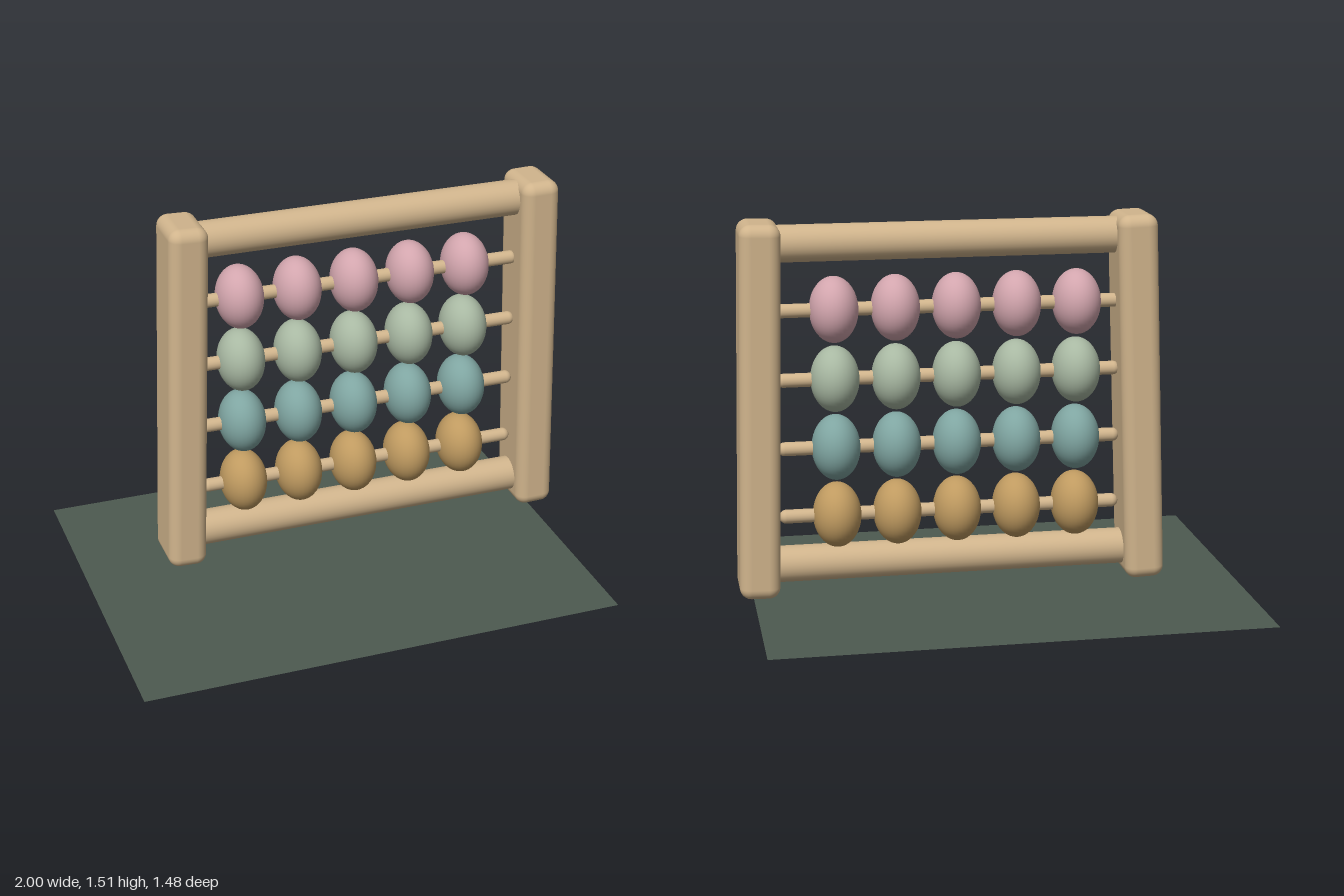
import * as THREE from 'three';
import { RoundedBoxGeometry } from 'three/addons/geometries/RoundedBoxGeometry.js';

const CX = 0.161; // frame centre
const CZ = -0.13;

function material(name, color, side = THREE.FrontSide) {
  const m = new THREE.MeshStandardMaterial({ color, side });
  m.name = name;
  return m;
}

export function createModel() {
  const model = new THREE.Group();
  model.name = 'beadFrame';
  const wood = material('wood', 0xd0b48c);
  const slate = material('darkGreen', 0x4d5a50, THREE.DoubleSide);

  function add(name, geometry, mat, x, y, z) {
    const mesh = new THREE.Mesh(geometry, mat);
    mesh.name = name;
    mesh.position.set(x, y, z);
    model.add(mesh);
    return mesh;
  }

  // flat base sheet
  const sheet = add('baseSheet', new THREE.PlaneGeometry(1.935, 1.484), slate, -0.0325, 0, 0);
  sheet.rotation.x = -Math.PI / 2;

  // side posts, leaning slightly inwards
  const post = new RoundedBoxGeometry(0.156, 1.455, 0.243, 5, 0.045);
  add('rightPost', post, wood, CX - 0.741, 0.779, CZ).rotation.z = -0.035;
  add('leftPost', post, wood, CX + 0.742, 0.779, CZ).rotation.z = 0.0235;

  // round cross bars, let into the posts
  for (const [name, y, length] of [['topBar', 1.42, 1.4], ['bottomBar', 0.162, 1.46]]) {
    const bar = new THREE.CylinderGeometry(0.071, 0.071, length, 32);
    add(name, bar, wood, CX, y, CZ).rotation.z = Math.PI / 2;
  }

  // four rods with five beads each, bottom row first
  const rows = [
    material('ochre', 0xbf9a60),
    material('teal', 0x7fa5a1),
    material('sage', 0xa8b8a2),
    material('pink', 0xd2a5ad),
  ];
  const rod = new THREE.CapsuleGeometry(0.027, 1.29, 8, 20);
  const bead = new THREE.SphereGeometry(1, 32, 24);
  bead.scale(0.094, 0.128, 0.117);
  rows.forEach((mat, row) => {
    const y = 0.352 + row * 0.27;
    add('rod', rod, wood, CX, y, CZ).rotation.z = Math.PI / 2;
    for (let i = 0; i < 5; i++) add('bead', bead, mat, -0.336 + i * 0.236, y, CZ);
  });

  return model;
}
